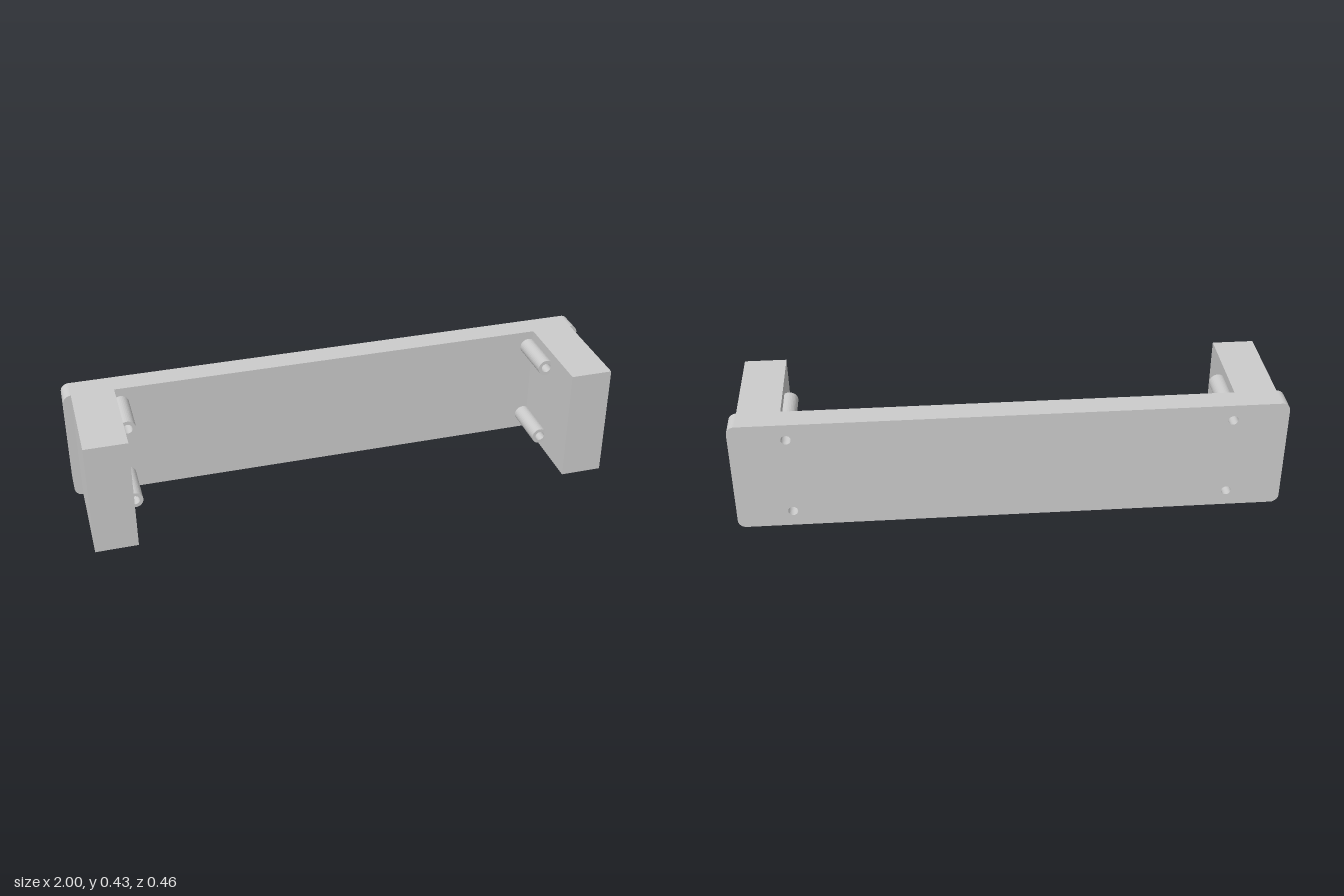
import * as THREE from 'three';

const H = 0.432, BACK = -0.23, PLATE_FRONT = -0.139, FRONT = 0.23;
const BOSS_X = 0.797, BOSS_R = 0.031, HOLE_R = 0.018, BOSS_FRONT = 0.042;
const BOSS_YS = [0.062, 0.37];

const material = new THREE.MeshStandardMaterial({ color: 0xcccccc });

function circle(path, x, y, r) {
  path.absarc(x, y, r, 0, Math.PI * 2, false);
  return path;
}

// Extrude a front-facing outline between two depths
function extrude(name, shape, z0, z1) {
  const geometry = new THREE.ExtrudeGeometry(shape, {
    depth: z1 - z0, bevelEnabled: false, curveSegments: 16,
  });
  geometry.translate(0, 0, z0);
  const mesh = new THREE.Mesh(geometry, material);
  mesh.name = name;
  return mesh;
}

export function createModel() {
  const group = new THREE.Group();
  group.name = 'bracket';

  // Back plate with rounded corners and four through holes
  const r = 0.03;
  const plate = new THREE.Shape();
  plate.absarc(1 - r, r, r, -Math.PI / 2, 0);
  plate.absarc(1 - r, H - r, r, 0, Math.PI / 2);
  plate.absarc(-1 + r, H - r, r, Math.PI / 2, Math.PI);
  plate.absarc(-1 + r, r, r, Math.PI, Math.PI * 1.5);
  plate.closePath();
  for (const side of [-1, 1])
    for (const y of BOSS_YS)
      plate.holes.push(circle(new THREE.Path(), side * BOSS_X, y, HOLE_R));
  group.add(extrude('backPlate', plate, BACK, PLATE_FRONT));

  for (const side of [-1, 1]) {
    const prefix = side > 0 ? 'left' : 'right';

    // End block reaching forward from the plate
    const x0 = 0.815, x1 = 0.97;
    const block = new THREE.Mesh(
      new THREE.BoxGeometry(x1 - x0, H, FRONT - PLATE_FRONT), material);
    block.position.set(side * (x0 + x1) / 2, H / 2, (FRONT + PLATE_FRONT) / 2);
    block.name = prefix + 'EndBlock';
    group.add(block);

    // Hollow screw bosses along the inner face of the block
    BOSS_YS.forEach((y, i) => {
      const ring = circle(new THREE.Shape(), side * BOSS_X, y, BOSS_R);
      ring.holes.push(circle(new THREE.Path(), side * BOSS_X, y, HOLE_R));
      const name = prefix + (i ? 'Upper' : 'Lower') + 'ScrewBoss';
      group.add(extrude(name, ring, PLATE_FRONT, BOSS_FRONT));
    });
  }
  return group;
}
